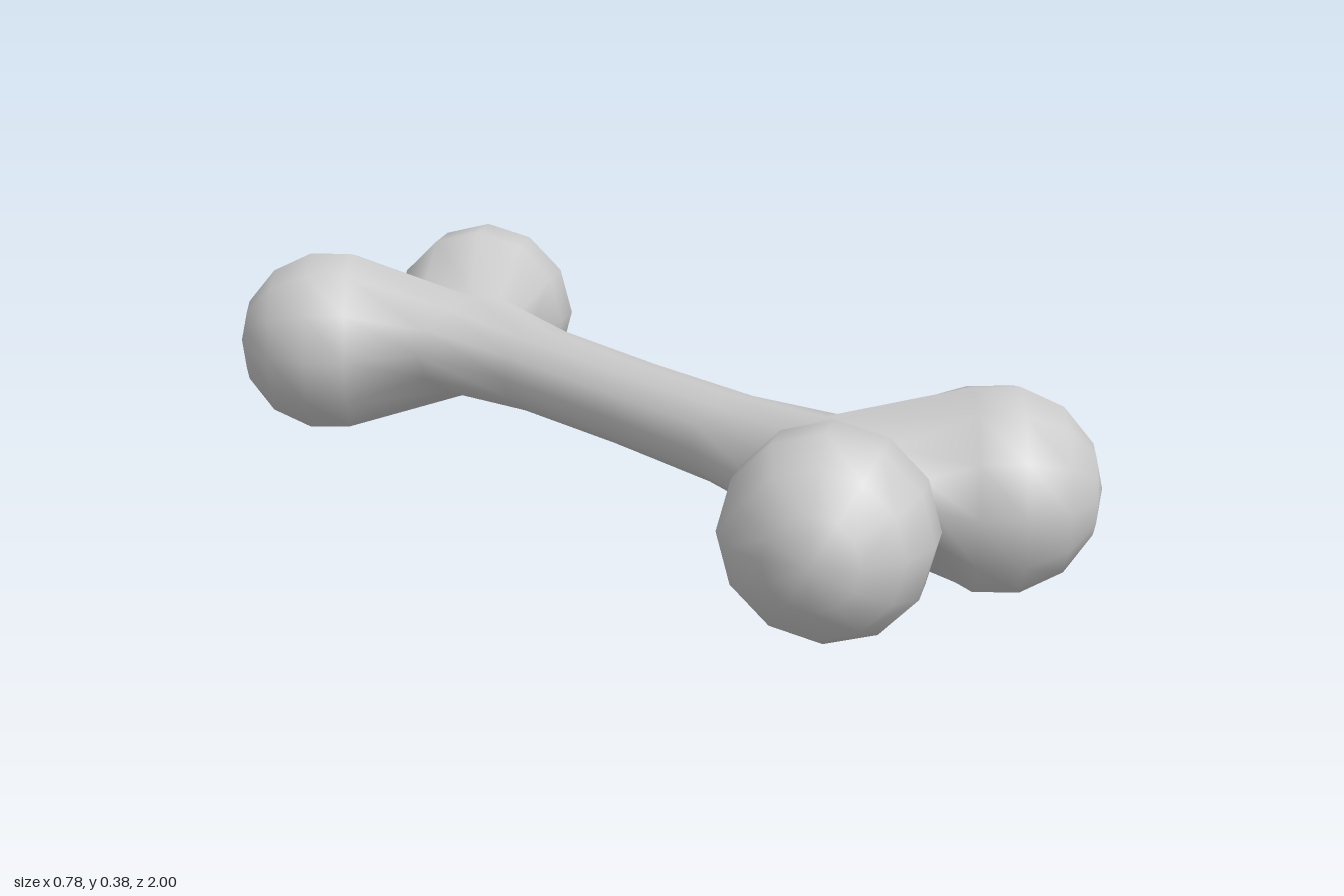
import * as THREE from 'three';
import { mergeVertices } from 'three/addons/utils/BufferGeometryUtils.js';

const SIDES = 12;
const END = 0.56; // where the shaft splits into two knobs
const AXIS_Y = 0.2;

// A ring of points from a rule; angle runs top, outer side, bottom, inner side
function ring(rule) {
  return Array.from({ length: SIDES }, (_, j) => rule((j / SIDES) * Math.PI * 2));
}

// Skin a list of rings into triangles
function skin(rings, flip, out) {
  for (let i = 0; i < rings.length - 1; i++) {
    for (let j = 0; j < SIDES; j++) {
      const k = (j + 1) % SIDES;
      const a = rings[i][j], b = rings[i][k], c = rings[i + 1][j], d = rings[i + 1][k];
      const tris = flip ? [a, b, c, b, d, c] : [a, c, b, b, c, d];
      tris.forEach((p) => out.push(p.x, p.y, p.z));
    }
  }
}

// Shaft: oval sections, slimmest in the middle
function addShaft(out) {
  const sections = [[-END, 0.145, 0.105], [-0.3, 0.105, 0.087], [0, 0.1, 0.084], [0.3, 0.105, 0.087], [END, 0.145, 0.105]];
  const rings = sections.map(([z, rx, ry]) =>
    ring((a) => new THREE.Vector3(rx * Math.sin(a), AXIS_Y + ry * Math.cos(a), z)));
  skin(rings, false, out);
}

// Knob: starts at half the shaft end plus a saddle arc, then swells into a ball
function addKnob(sx, sz, out) {
  const centre = new THREE.Vector3(0.2, 0.191, 0.805);
  const radius = 0.196;
  const axis = new THREE.Vector3(0.78, 0, 0.62).normalize();
  const side = new THREE.Vector3(axis.z, 0, -axis.x);
  const place = (p) => p.set(p.x * sx, p.y, p.z * sz);

  const root = ring((a) => {
    const s = Math.abs(Math.sin(a)) < 1e-6 ? 0 : Math.sin(a);
    const y = AXIS_Y + 0.105 * Math.cos(a);
    return place(s >= 0
      ? new THREE.Vector3(0.145 * s, y, END)
      : new THREE.Vector3(0, y, END + 0.3 * Math.pow(-s, 0.7)));
  });
  const ball = [103, 78, 52, 26, 0].map((deg) => {
    const phi = THREE.MathUtils.degToRad(deg);
    const r = radius * Math.sin(phi);
    return ring((a) => {
      const p = centre.clone()
        .addScaledVector(axis, radius * Math.cos(phi))
        .addScaledVector(side, r * Math.sin(a));
      p.y += r * Math.cos(a);
      return place(p);
    });
  });
  skin([root, ...ball], sx * sz < 0, out);
}

export function createModel() {
  const points = [];
  addShaft(points);
  for (const sx of [-1, 1]) for (const sz of [-1, 1]) addKnob(sx, sz, points);

  // Weld the parts so the shading flows over the joints
  let geometry = new THREE.BufferGeometry();
  geometry.setAttribute('position', new THREE.Float32BufferAttribute(points, 3));
  geometry = mergeVertices(geometry, 1e-4);
  geometry.computeVertexNormals();

  const bone = new THREE.Mesh(geometry, new THREE.MeshStandardMaterial({ color: 0xcccccc }));
  bone.name = 'bone';
  const group = new THREE.Group();
  group.name = 'boneModel';
  group.add(bone);
  return group;
}
